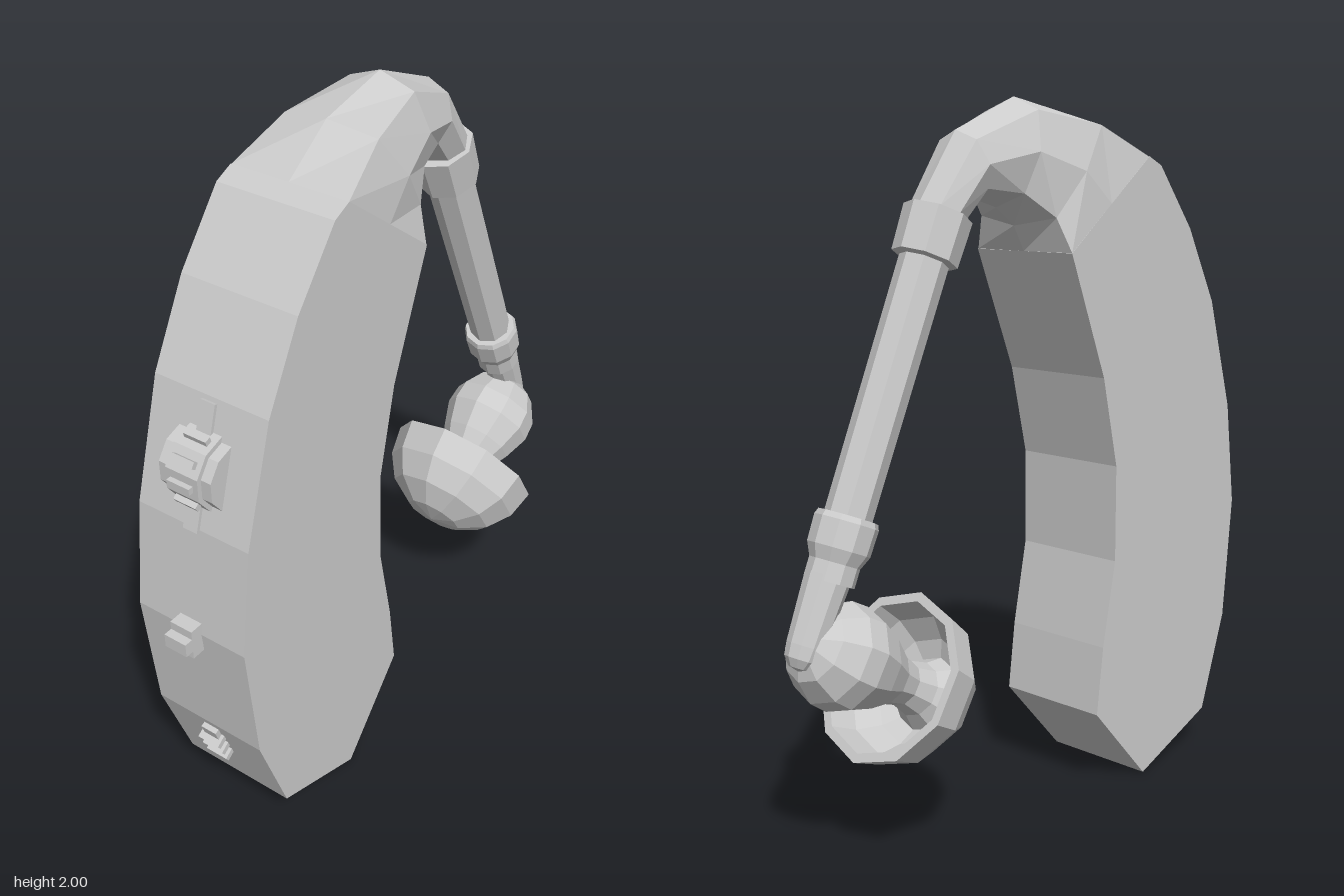
import * as THREE from 'three';

const material = new THREE.MeshStandardMaterial({ color: 0xcccccc, flatShading: true, side: THREE.DoubleSide });

function add(parent, name, geometry) {
  const mesh = new THREE.Mesh(geometry, material);
  mesh.name = name;
  parent.add(mesh);
  return mesh;
}

// Turned part: profile of [radius, distance] pairs along an axis in the xy plane
function turned(parent, name, origin, target, profile, sides) {
  const geometry = new THREE.LatheGeometry(profile.map(([r, s]) => new THREE.Vector2(r, s)), sides, Math.PI / 2);
  const mesh = add(parent, name, geometry);
  const dir = new THREE.Vector3(target[0] - origin[0], target[1] - origin[1], 0).normalize();
  mesh.quaternion.setFromUnitVectors(new THREE.Vector3(0, 1, 0), dir);
  mesh.position.set(origin[0], origin[1], 0);
  return mesh;
}

function box(parent, name, size, position, tilt = 0) {
  const mesh = add(parent, name, new THREE.BoxGeometry(...size));
  mesh.position.set(...position);
  mesh.rotation.z = tilt;
  return mesh;
}

// Loft through rings given by top point, bottom point, half width and roundness
function hookGeometry(sections, sides) {
  const positions = [], index = [];
  const soft = (v, p) => (Math.abs(v) < 1e-6 ? 0 : Math.sign(v) * Math.abs(v) ** p);
  sections.forEach(([tx, ty, bx, by, w, p], i) => {
    for (let k = 0; k < sides; k++) {
      const a = (k / sides) * Math.PI * 2;
      const c = soft(Math.cos(a), p) / 2;
      positions.push((tx + bx) / 2 + (tx - bx) * c, (ty + by) / 2 + (ty - by) * c, w * soft(Math.sin(a), p));
      if (i < sections.length - 1) {
        const q = i * sides + k, r = i * sides + ((k + 1) % sides);
        index.push(q, r, r + sides, q, r + sides, q + sides);
      }
    }
  });
  const geometry = new THREE.BufferGeometry();
  geometry.setAttribute('position', new THREE.Float32BufferAttribute(positions, 3));
  geometry.setIndex(index);
  geometry.computeVertexNormals();
  return geometry;
}

export function createModel() {
  const model = new THREE.Group();
  model.name = 'hearingAid';

  // Curved slab body
  const outline = [
    [-0.35, 0], [-0.125, 0.25], [-0.15, 0.45], [-0.2, 0.7], [-0.2, 0.98], [-0.14, 1.24], [0, 1.59],
    [-0.33, 1.845], [-0.385, 1.82], [-0.53, 1.64], [-0.65, 1.42], [-0.75, 1.09], [-0.79, 0.78],
    [-0.755, 0.41], [-0.655, 0.12],
  ];
  const shape = new THREE.Shape(outline.map(([x, y]) => new THREE.Vector2(x, y)));
  const body = new THREE.ExtrudeGeometry(shape, { depth: 0.35, bevelEnabled: false });
  body.translate(0, 0, -0.175);
  add(model, 'body', body);

  // Ear hook tapering from the rectangular body end to the round tube
  add(model, 'earHook', hookGeometry([
    [-0.33, 1.845, 0, 1.59, 0.175, 0.02],
    [-0.18, 1.95, 0.04, 1.66, 0.165, 0.5],
    [0.04, 2.0, 0.11, 1.71, 0.13, 0.85],
    [0.26, 1.91, 0.2, 1.735, 0.095, 1],
    [0.39, 1.73, 0.26, 1.675, 0.08, 1],
  ], 8));

  // Sound tube with its collars and bent tip
  const top = [0.325, 1.7], bottom = [0.69, 0.87];
  turned(model, 'upperCollar', top, bottom,
    [[0, 0], [0.092, 0], [0.088, 0.125], [0.07, 0.13], [0, 0.13]], 8);
  turned(model, 'tube', top, bottom, [[0.066, 0.08], [0.062, 0.86]], 8);
  turned(model, 'lowerCollar', [0.65, 0.96], [0.72, 0.8],
    [[0, 0], [0.078, 0], [0.084, 0.015], [0.082, 0.085], [0.066, 0.12], [0.066, 0.17], [0, 0.17]], 10);
  turned(model, 'tubeTip', [0.72, 0.82], [0.81, 0.63],
    [[0.06, 0], [0.05, 0.18], [0.045, 0.215], [0.028, 0.237], [0, 0.245]], 10);

  // Ear bud: pear-shaped bulb standing in an open cup
  const cupCentre = [0.53, 0.505], bulbEnd = [0.8, 0.672];
  turned(model, 'earCup', cupCentre, bulbEnd, [
    [0, -0.225], [0.09, -0.21], [0.17, -0.162], [0.22, -0.09], [0.238, 0],
    [0.212, 0], [0.195, -0.08], [0.15, -0.14], [0.08, -0.18], [0, -0.19],
  ], 10);
  turned(model, 'earBulb', cupCentre, bulbEnd, [
    [0.105, -0.17], [0.075, -0.12], [0.062, -0.06], [0.075, 0], [0.115, 0.08],
    [0.142, 0.16], [0.138, 0.22], [0.1, 0.285], [0.05, 0.315], [0, 0.322],
  ], 10);

  // Volume wheel with ribs, side rims and a slot plate
  const wheel = new THREE.Group();
  wheel.name = 'volumeWheel';
  wheel.position.set(-0.675, 1.235, 0);
  model.add(wheel);
  add(wheel, 'wheelDisc', new THREE.CylinderGeometry(0.103, 0.103, 0.1, 10)).rotation.x = Math.PI / 2;
  for (const side of [-1, 1]) {
    const rim = add(wheel, 'wheelRim', new THREE.CylinderGeometry(0.09, 0.09, 0.03, 10));
    rim.rotation.x = Math.PI / 2;
    rim.position.z = side * 0.066;
  }
  for (let i = 0; i < 10; i++) {
    const a = (i / 10) * Math.PI * 2;
    box(wheel, 'wheelRib', [0.018, 0.018, 0.07], [Math.cos(a) * 0.104, Math.sin(a) * 0.104, 0], a);
  }
  box(model, 'slotPlate', [0.02, 0.34, 0.045], [-0.702, 1.245, 0], -0.294);

  // Push button
  box(model, 'buttonBase', [0.05, 0.09, 0.07], [-0.8, 0.77, 0]);
  box(model, 'buttonCap', [0.05, 0.04, 0.07], [-0.825, 0.77, 0]);

  // Grip ridges near the foot
  box(model, 'ridgePlate', [0.015, 0.13, 0.05], [-0.735, 0.325, 0], 0.316);
  for (let i = 0; i < 3; i++) {
    box(model, 'gripRidge', [0.035, 0.018, 0.07], [-0.748 + i * 0.014, 0.345 - i * 0.036, 0], 0.6);
  }
  return model;
}
